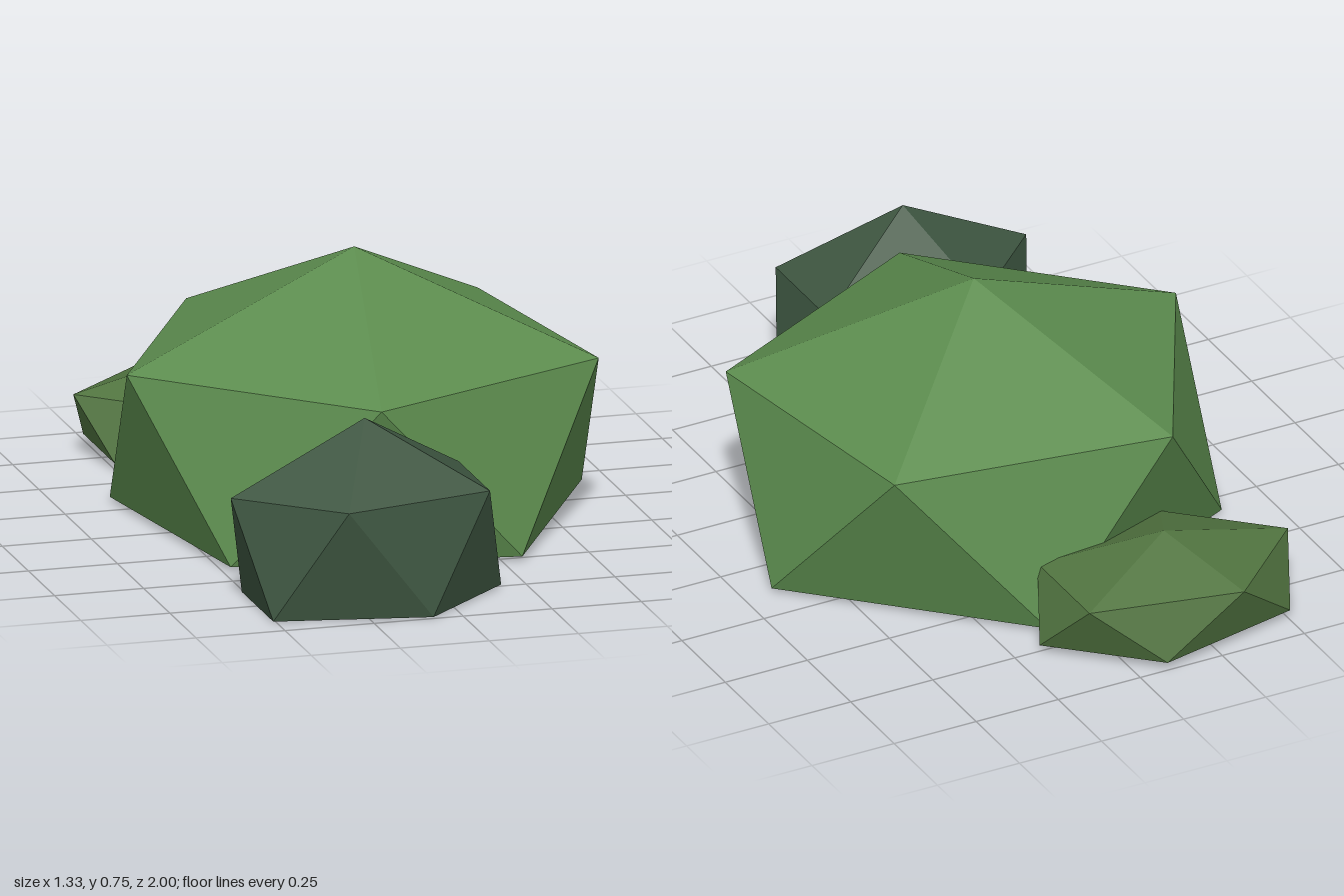
import * as THREE from 'three';

// Low-poly bush: an icosahedron stretched per axis, without its buried bottom cap
function bushGeometry({ rx, rz, apex, upper, lower, phase }) {
  const ring = (i, y, offset) => {
    const a = THREE.MathUtils.degToRad(phase + offset + i * 72);
    return [rx * Math.cos(a), y, rz * Math.sin(a)];
  };
  const top = [0, apex, 0];
  const points = [];
  for (let i = 0; i < 5; i++) {
    const u0 = ring(i, upper, 0), u1 = ring(i + 1, upper, 0);
    const l0 = ring(i, lower, 36), l1 = ring(i + 1, lower, 36);
    points.push(...top, ...u1, ...u0); // crown
    points.push(...u0, ...u1, ...l0); // side, point down
    points.push(...l0, ...u1, ...l1); // side, point up
  }
  const geometry = new THREE.BufferGeometry();
  geometry.setAttribute('position', new THREE.Float32BufferAttribute(points, 3));
  geometry.computeVertexNormals();
  return geometry;
}

function leafMaterial(name, color) {
  const material = new THREE.MeshStandardMaterial({ color, side: THREE.DoubleSide, flatShading: true });
  material.name = name;
  return material;
}

export function createModel() {
  const group = new THREE.Group();
  group.name = 'bushes';

  const addBush = (name, material, x, z, shape) => {
    const mesh = new THREE.Mesh(bushGeometry(shape), material);
    mesh.name = name;
    mesh.position.set(x, 0, z);
    group.add(mesh);
    return mesh;
  };

  // Large middle bush
  addBush('largeBush', leafMaterial('leaf green', 0x5c8c4e), 0, -0.04,
    { rx: 0.675, rz: 0.642, apex: 0.75, upper: 0.47, lower: 0.015, phase: 27.3 });

  // Dark front bush, leaning very slightly
  const front = addBush('frontBush', leafMaterial('dark green', 0x3d5540), -0.2, 0.757,
    { rx: 0.378, rz: 0.256, apex: 0.507, upper: 0.316, lower: 0.005, phase: 180 });
  front.rotation.z = 0.01;

  // Low back bush
  addBush('backBush', leafMaterial('moss green', 0x517440), -0.2, -0.757,
    { rx: 0.378, rz: 0.256, apex: 0.28, upper: 0.183, lower: 0.025, phase: 180 });

  return group;
}
